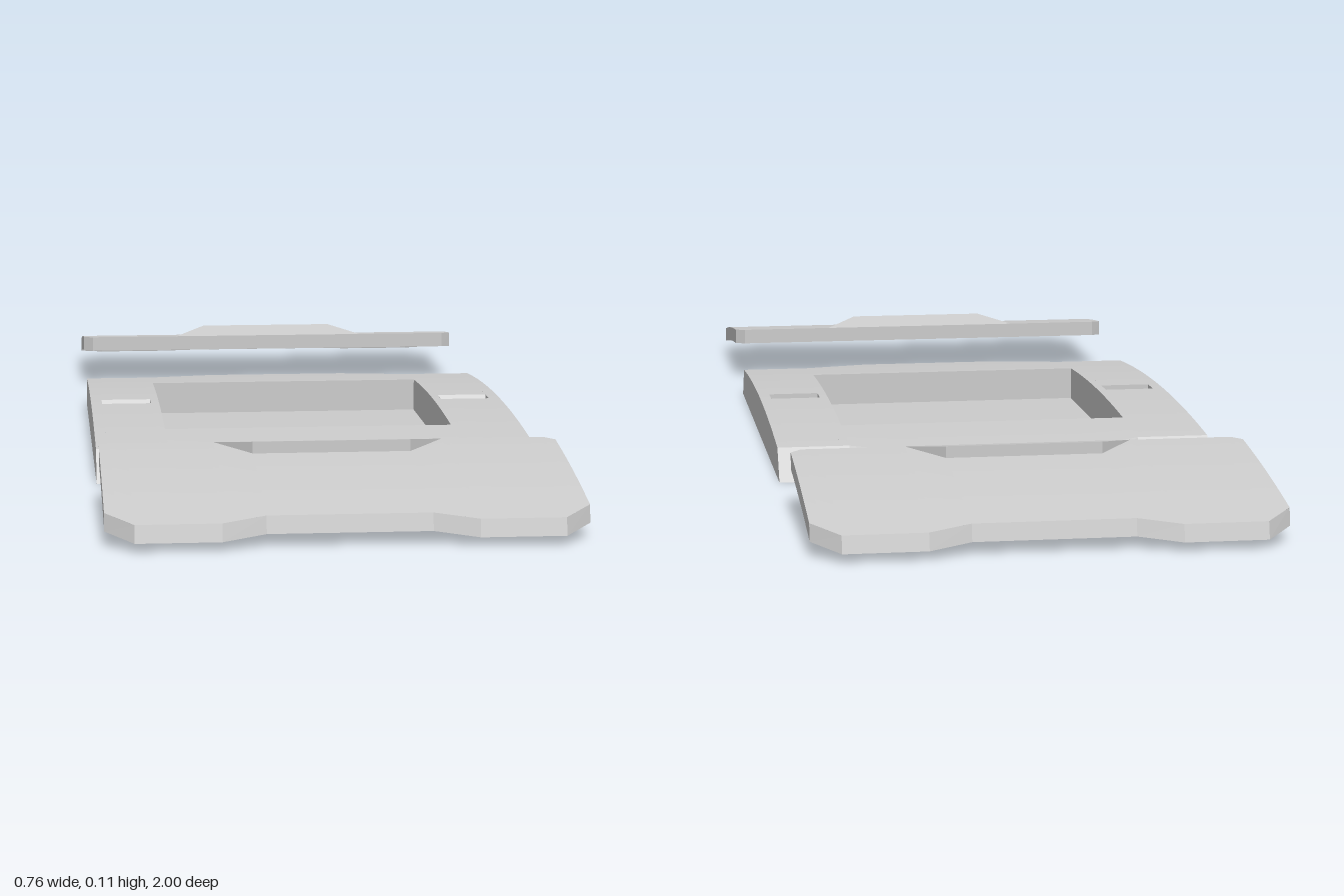
import * as THREE from 'three';
import { mergeGeometries } from 'three/addons/utils/BufferGeometryUtils.js';

const material = new THREE.MeshStandardMaterial({ color: 0xcccccc, side: THREE.DoubleSide });

// Strip of quads between two point rows [x, y, z]; flat gives hard facets
function loft(a, b, flat = true) {
  const pos = [], index = [];
  a.forEach((p, i) => {
    pos.push(...p, ...b[i]);
    if (i < a.length - 1) {
      const k = 2 * i;
      index.push(k, k + 1, k + 2, k + 1, k + 3, k + 2);
    }
  });
  let g = new THREE.BufferGeometry();
  g.setAttribute('position', new THREE.Float32BufferAttribute(pos, 3));
  g.setIndex(index);
  g = flat ? g.toNonIndexed() : g;
  g.computeVertexNormals();
  return flat ? g : g.toNonIndexed();
}

function addPart(group, name, geometries) {
  const mesh = new THREE.Mesh(mergeGeometries(geometries), material);
  mesh.name = name;
  group.add(mesh);
}

// Piecewise linear lookup on |x|
function along(table, x) {
  const ax = Math.abs(x);
  for (let i = 1; i < table.length; i++) {
    const [x0, z0] = table[i - 1], [x1, z1] = table[i];
    if (ax <= x1) return z0 + (z1 - z0) * (ax - x0) / (x1 - x0);
  }
  return table[table.length - 1][1];
}

// Curved surface between two x positions, from z range start(x) to end(x)
function sheet(x0, x1, start, end, height, steps = 12) {
  const row = x => Array.from({ length: steps + 1 }, (_, i) => {
    const z = start(x) + (end(x) - start(x)) * i / steps;
    return [x, height(z), z];
  });
  return loft(row(x1), row(x0), false);
}

const mirrorBreaks = xs => [...xs.map(x => -x).reverse(), ...xs];
const close = ring => [...ring, ring[0]];

function makeBody() {
  const body = new THREE.Group();
  body.name = 'centrePlate';
  const height = z => 0.072 - 0.115 * z * z;
  const topEnd = [[0, 0.447], [0.13, 0.447], [0.255, 0.39], [0.38, 0.39]];
  const bottomEnd = [[0, 0.485], [0.13, 0.485], [0.255, 0.425], [0.38, 0.425]];
  const pocketX = 0.255, pocketZ = 0.2575, slotZ = 0.0225, slotIn = 0.27, slotOut = 0.36;

  // Arched top, left open over the pocket and the two slots
  const top = [];
  const xs = mirrorBreaks([0.13, pocketX, slotIn, slotOut, 0.38]);
  for (let i = 1; i < xs.length; i++) {
    const x0 = xs[i - 1], x1 = xs[i], mid = Math.abs(x0 + x1) / 2;
    const hole = mid < pocketX ? pocketZ : mid > slotIn && mid < slotOut ? slotZ : 0;
    const end = x => along(topEnd, x);
    top.push(sheet(x0, x1, () => hole, end, height));
    top.push(sheet(x0, x1, x => -end(x), () => -hole, height));
  }
  addPart(body, 'archedTop', top);

  // Outer rim: sloped ends and upright sides
  const ring = (table, y) => {
    const half = mirrorBreaks([0.13, 0.255, 0.38]).map(x => [x, along(table, x)]);
    const side = along(table, 0.38);
    for (let i = 1; i < 16; i++) half.push([0.38, side * (1 - i / 8)]);
    return close([...half, ...half.map(([x, z]) => [-x, -z])]).map(([x, z]) => [x, y(z), z]);
  };
  addPart(body, 'outerRim', [loft(ring(topEnd, height), ring(bottomEnd, () => 0))]);

  // Sunken rectangular pocket
  const floorY = 0.005, hole = [];
  for (let i = 0; i <= 10; i++) hole.push([-pocketX, pocketZ * (i / 5 - 1)]);
  for (let i = 0; i <= 10; i++) hole.push([pocketX, pocketZ * (1 - i / 5)]);
  const lip = close(hole).map(([x, z]) => [x, height(z), z]).reverse();
  const base = lip.map(([x, , z]) => [x, floorY, z]);
  addPart(body, 'pocketWalls', [loft(base, lip)]);
  const floor = new THREE.PlaneGeometry(2 * pocketX, 2 * pocketZ).rotateX(-Math.PI / 2).translate(0, floorY, 0);
  addPart(body, 'pocketFloor', [floor]);

  // Side slots, each with one ramped wall
  for (const s of [-1, 1]) {
    const profile = [[height(slotZ), -slotZ], [0.036, 0], [0.036, slotZ], [height(slotZ), slotZ]];
    const [x0, x1] = s > 0 ? [slotIn, slotOut] : [-slotOut, -slotIn];
    const row = x => profile.map(([y, z]) => [x, y, z]);
    const edge = x => profile.map(([, z]) => [x, height(z), z]);
    addPart(body, s > 0 ? 'leftSlot' : 'rightSlot',
      [loft(row(x1), row(x0)), loft(edge(x0), row(x0)), loft(row(x1), edge(x1))]);
  }
  body.position.z = 0.02;
  return body;
}

function makeFlap(name) {
  const flap = new THREE.Group();
  flap.name = name;
  const inner = 0.617;
  const height = z => 0.101 - 0.1 * (z - inner) - 0.15 * (z - inner) ** 2;
  const start = [[0, 0.685], [0.13, 0.685], [0.19, inner], [0.362, inner], [0.38, 0.632]];
  const end = [[0, 0.966], [0.13, 0.966], [0.2, 0.993], [0.335, 0.993], [0.38, 0.945]];

  // Gently curved top, notched where the raised tab sits
  const top = [], xs = mirrorBreaks([0.13, 0.19, 0.2, 0.335, 0.362, 0.38]);
  for (let i = 1; i < xs.length; i++) {
    top.push(sheet(xs[i - 1], xs[i], x => along(start, x), x => along(end, x), height));
  }
  addPart(flap, 'flapTop', top);

  // Skirt around the edge, leaning out slightly at the outer end
  const half = [[0.13, 0.966], [0.2, 0.993], [0.335, 0.993]];
  for (let i = 0; i <= 8; i++) half.push([0.38, 0.945 + (0.632 - 0.945) * i / 8]);
  half.push([0.362, inner], [0.19, inner]);
  const outline = close([...half, ...half.map(([x, z]) => [-x, z]).reverse()]);
  const upper = outline.map(([x, z]) => [x, height(z), z]);
  const lower = upper.map(([x, y, z]) => [x, y - 0.028, z + 0.007 * (z - inner) / 0.376]);
  addPart(flap, 'skirt', [loft(upper, lower)]);

  // Raised wedge tab on the inner edge
  const crest = [[-0.19, inner], [-0.13, 0.685], [0.13, 0.685], [0.19, inner]];
  const tabTop = crest.map(([x, z]) => [x, z === inner ? 0.101 : 0.113, z]);
  const tabFoot = crest.map(([x, z]) => [x, height(z), z]);
  addPart(flap, 'raisedTab', [
    loft(tabTop, tabFoot),
    loft([tabTop[3], tabTop[2]].reverse(), [tabTop[0], tabTop[1]].reverse()),
  ]);
  return flap;
}

export function createModel() {
  const model = new THREE.Group();
  model.name = 'plateWithFlaps';
  const back = makeFlap('backFlap');
  back.rotation.y = Math.PI;
  model.add(makeBody(), makeFlap('frontFlap'), back);
  return model;
}
